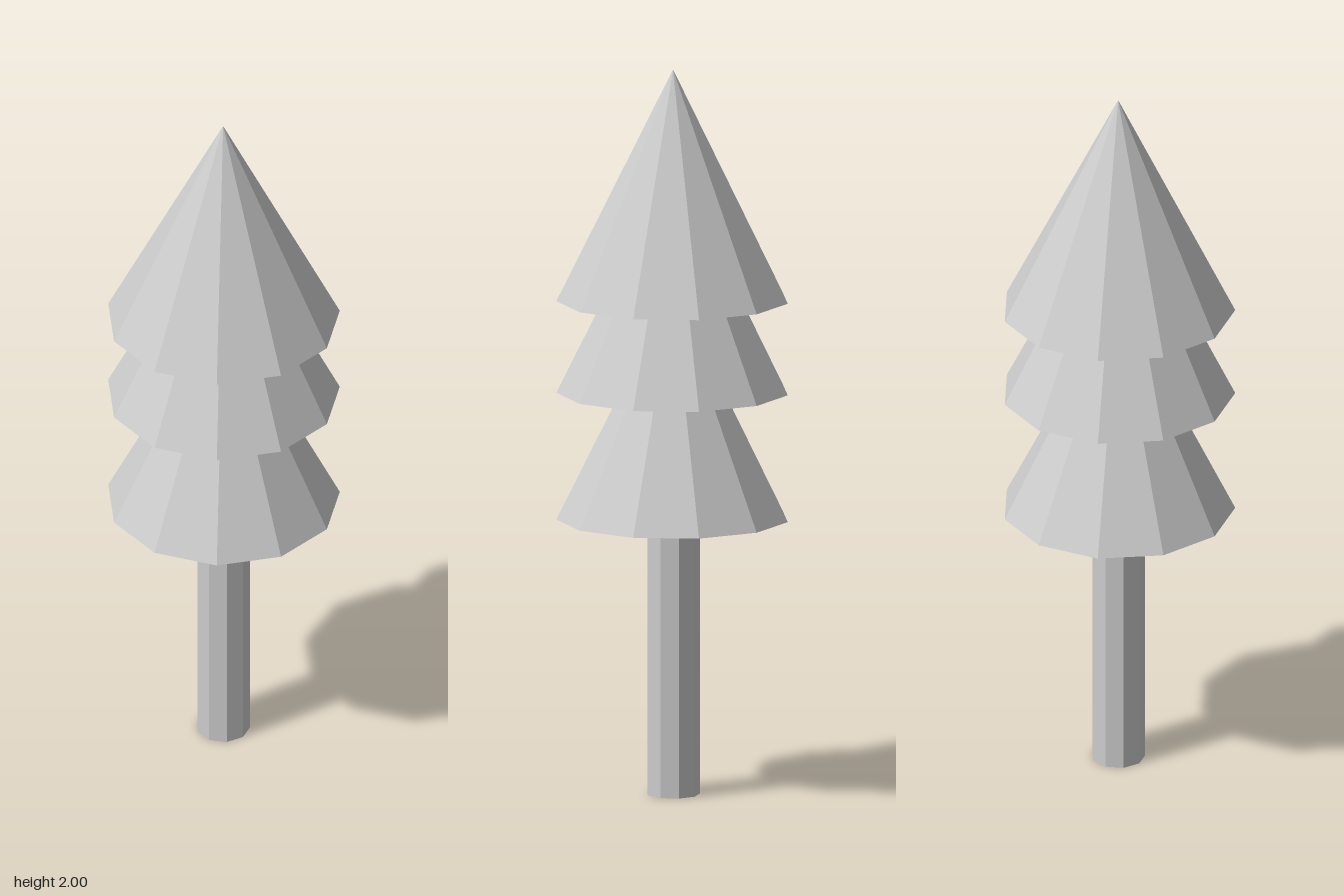
import * as THREE from 'three';

export function createModel() {
  const model = new THREE.Group();
  model.name = 'tree';

  const paleGrey = new THREE.MeshStandardMaterial({ color: 0xcccccc, flatShading: true });
  paleGrey.name = 'paleGrey';

  // Adds an upright faceted part standing on baseY, with one corner pointing straight back
  const axisZ = 0.0064;
  function addPart(name, geometry, baseY, height) {
    const mesh = new THREE.Mesh(geometry, paleGrey);
    mesh.name = name;
    mesh.rotation.y = Math.PI;
    mesh.position.set(0, baseY + height / 2, axisZ);
    model.add(mesh);
  }

  // Nine-sided trunk, ending inside the lowest tier
  const trunkHeight = 0.78;
  addPart('trunk', new THREE.CylinderGeometry(0.073, 0.073, trunkHeight, 9), 0, trunkHeight);

  // Three equal eleven-sided cones, overlapping upwards
  const tierHeight = 0.635;
  const tiers = [['lowerFoliage', 0.762], ['middleFoliage', 1.112], ['upperFoliage', 1.365]];
  for (const [name, baseY] of tiers) {
    addPart(name, new THREE.ConeGeometry(0.318, tierHeight, 11), baseY, tierHeight);
  }

  return model;
}
